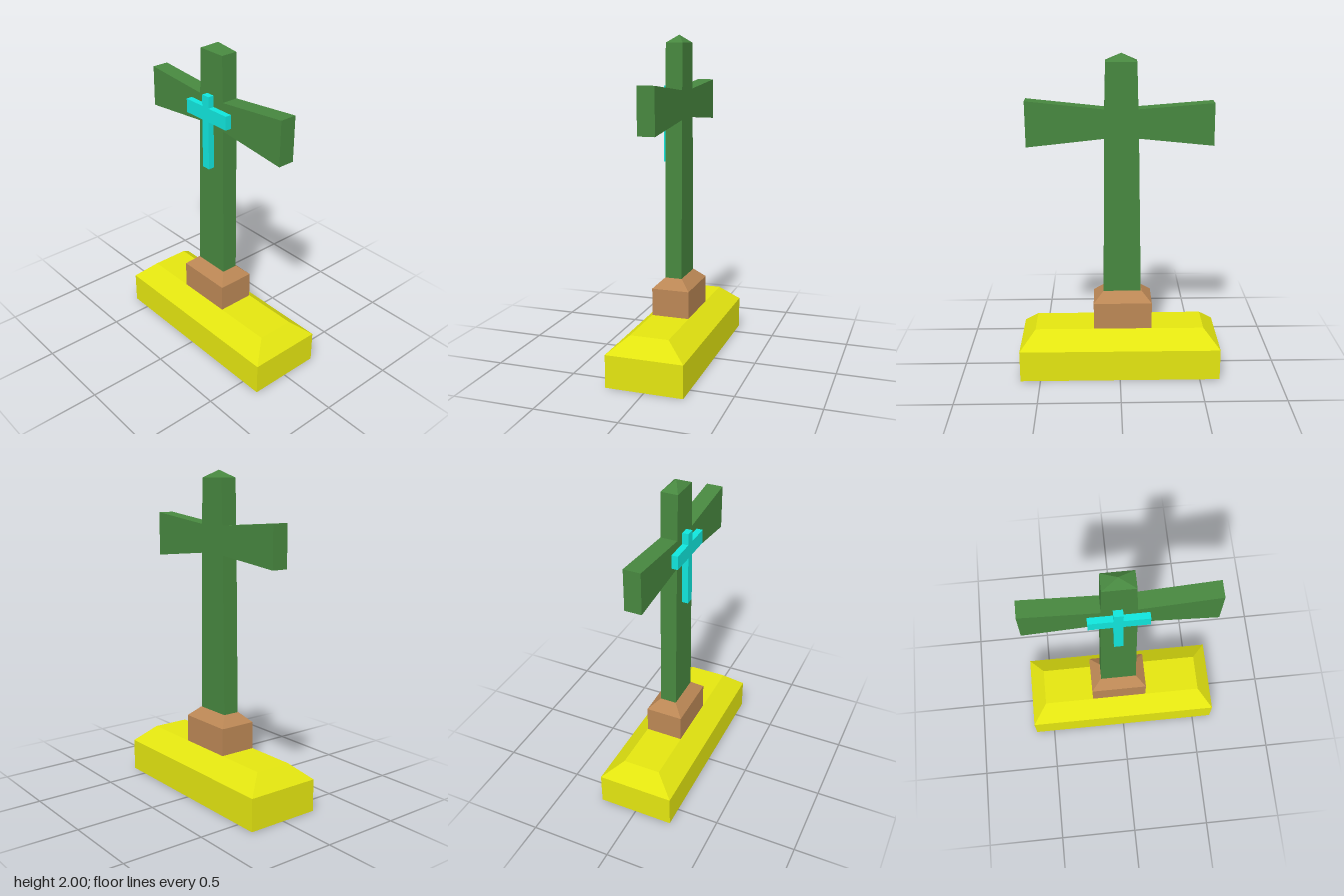
import * as THREE from 'three';

const paint = (color, flatShading = true) => new THREE.MeshStandardMaterial({ color, flatShading });

function part(name, geometry, material) {
  const mesh = new THREE.Mesh(geometry, material);
  mesh.name = name;
  return mesh;
}

// Stacks rectangular sections [y, xMin, xMax, zMin, zMax] into a closed solid
function stack(sections, flat = true) {
  const points = [], index = [];
  for (const [y, x0, x1, z0, z1] of sections) {
    points.push(x0, y, z1, x1, y, z1, x1, y, z0, x0, y, z0);
  }
  for (let s = 0; s < sections.length - 1; s++) {
    for (let i = 0; i < 4; i++) {
      const a = s * 4 + i, b = s * 4 + (i + 1) % 4;
      index.push(a, b, b + 4, a, b + 4, a + 4);
    }
  }
  const t = (sections.length - 1) * 4;
  index.push(0, 2, 1, 0, 3, 2, t, t + 1, t + 2, t, t + 2, t + 3);
  const indexed = new THREE.BufferGeometry();
  indexed.setAttribute('position', new THREE.Float32BufferAttribute(points, 3));
  indexed.setIndex(index);
  const geometry = flat ? indexed.toNonIndexed() : indexed;
  geometry.computeVertexNormals();
  return geometry;
}

// Extrudes an outline of [z, y] points from xMin to xMax
function slab(outline, xMin, xMax) {
  const shape = new THREE.Shape(outline.map(([z, y]) => new THREE.Vector2(-z, y)));
  return new THREE.ExtrudeGeometry(shape, { depth: xMax - xMin, bevelEnabled: false })
    .rotateY(Math.PI / 2)
    .translate(xMin, 0, 0);
}

export function createModel() {
  const model = new THREE.Group();
  model.name = 'crossMonument';
  const green = 0x47873f;

  // Stepped base with chamfered tops
  model.add(part('base', stack([
    [0, -0.237, 0.237, -0.625, 0.625],
    [0.2, -0.237, 0.237, -0.625, 0.625],
    [0.3, -0.118, 0.118, -0.527, 0.53],
  ]), paint(0xe3e510)));
  model.add(part('plinth', stack([
    [0.295, -0.117, 0.117, -0.2, 0.163],
    [0.47, -0.117, 0.117, -0.2, 0.163],
    [0.53, -0.054, 0.054, -0.138, 0.102],
  ]), paint(0xbb8755)));

  // Tall cross with flared arms and a tapering shaft
  model.add(part('cross', slab([
    [0.1, 0.525], [-0.133, 0.525],
    [-0.115, 1.505], [-0.562, 1.46], [-0.56, 1.715], [-0.11, 1.68],
    [-0.102, 1.955], [0.083, 1.955],
    [0.09, 1.68], [0.557, 1.73], [0.555, 1.455], [0.092, 1.505],
  ], -0.052, 0.052), paint(green)));

  // Pointed cap on the shaft
  model.add(part('cap', stack([
    [1.955, -0.052, 0.052, -0.102, 0.083],
    [2, -0.0005, 0.0005, -0.0105, -0.0095],
  ]), paint(green)));

  // Small cross mounted on the side face
  model.add(part('smallCross', slab([
    [0.01, 1.24], [-0.045, 1.24],
    [-0.045, 1.545], [-0.188, 1.545], [-0.188, 1.63], [-0.045, 1.63],
    [-0.045, 1.7], [0.01, 1.7],
    [0.01, 1.63], [0.16, 1.63], [0.16, 1.545], [0.01, 1.545],
  ], -0.091, -0.051), paint(0x10e5dc)));

  return model;
}
